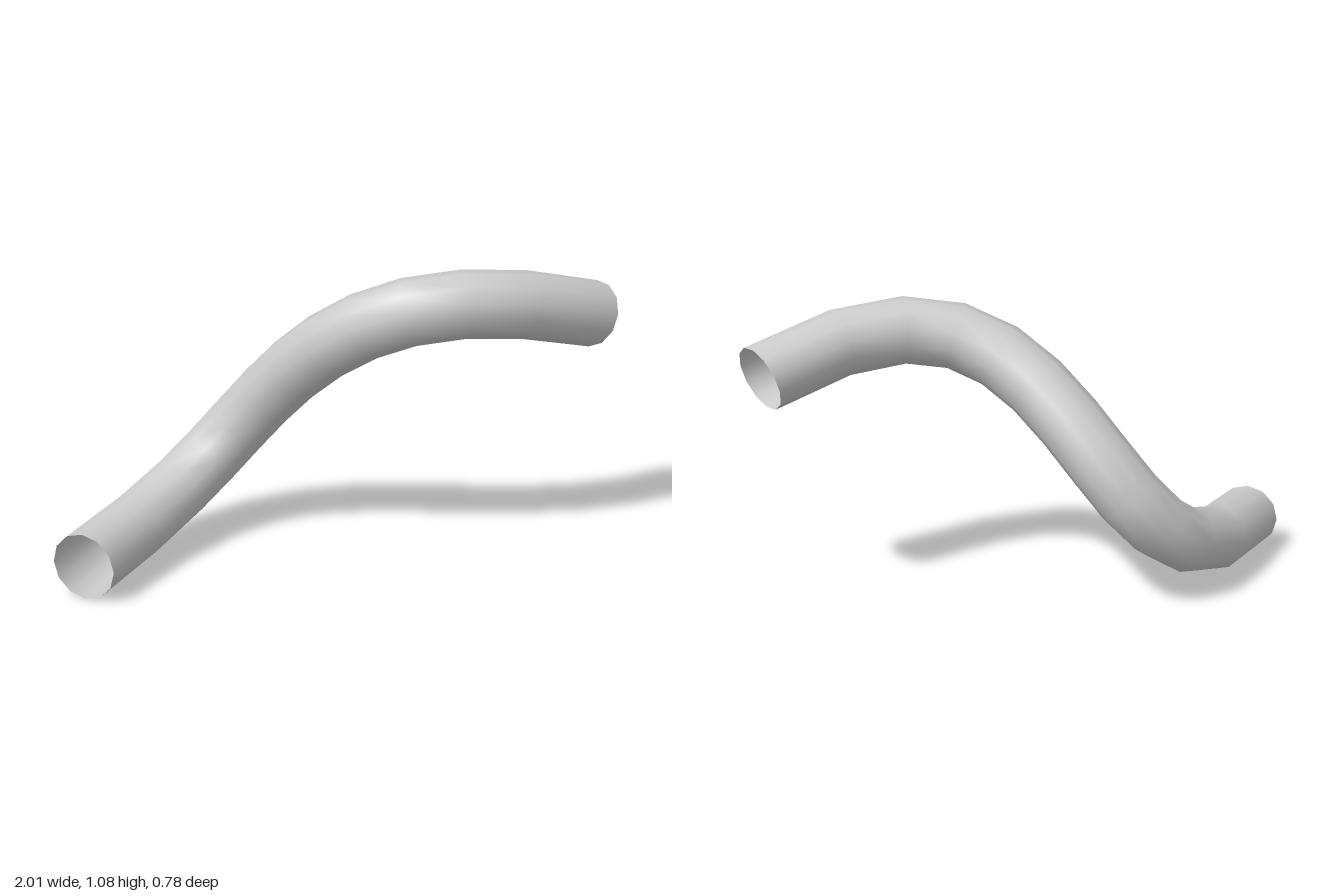
import * as THREE from 'three';

export function createModel() {
  const group = new THREE.Group();
  group.name = 'bentPipe';

  // S-shaped centre line
  const path = new THREE.CubicBezierCurve3(
    new THREE.Vector3(-0.915, 0.122, 0.148),
    new THREE.Vector3(0.22, 0.145, -1.015),
    new THREE.Vector3(-0.43, 1.31, 0.655),
    new THREE.Vector3(0.96, 0.857, 0.2)
  );
  // Space the rings by curve parameter, so they gather in the bends
  path.getPointAt = (t, target) => path.getPoint(t, target);
  path.getTangentAt = (t, target) => path.getTangent(t, target);

  // Open-ended tube, visible inside and out
  const pipe = new THREE.Mesh(
    new THREE.TubeGeometry(path, 12, 0.12, 12, false),
    new THREE.MeshStandardMaterial({ color: 0xcccccc, side: THREE.DoubleSide })
  );
  pipe.name = 'pipe';
  group.add(pipe);
  return group;
}
